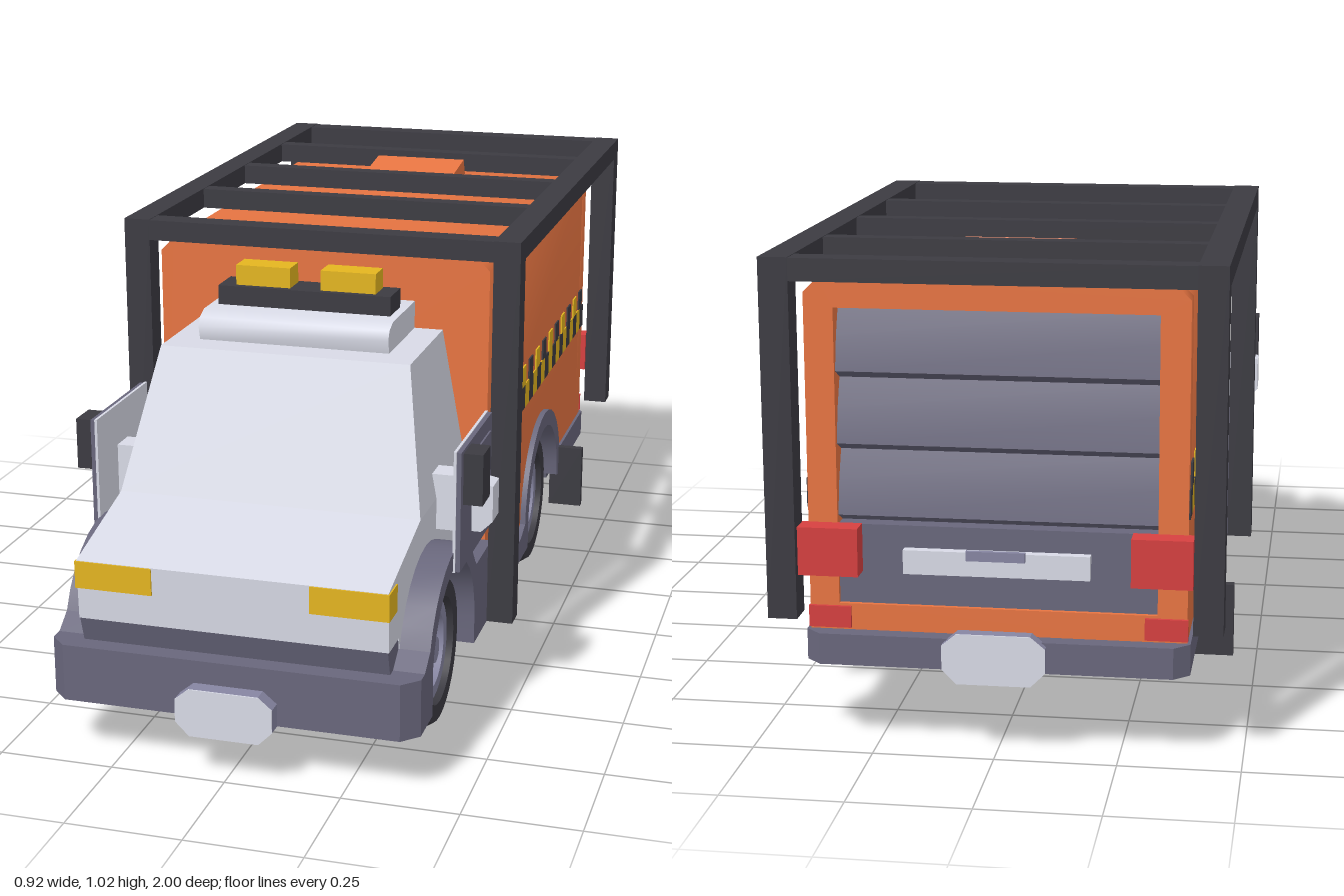
import * as THREE from 'three';
import { toCreasedNormals } from 'three/addons/utils/BufferGeometryUtils.js';

const mat = (name, color) => {
  const m = new THREE.MeshStandardMaterial({ color });
  m.name = name;
  return m;
};

export function createModel() {
  const root = new THREE.Group();
  root.name = 'utilityTruck';
  const orange = mat('orange', 0xe87542), light = mat('lightGrey', 0xd8dae6);
  const slate = mat('slate', 0x69677c), dark = mat('charcoal', 0x3c3b42);
  const yellow = mat('amber', 0xe4b520), red = mat('red', 0xd64040);
  const steel = mat('steel', 0x8786a2), under = mat('underbody', 0x5c5b6c);

  const add = (name, geo, m, parent = root) => {
    const mesh = new THREE.Mesh(geo, m);
    mesh.name = name;
    parent.add(mesh);
    return mesh;
  };
  // box from its limits
  const box = (name, m, x0, x1, y0, y1, z0, z1) => {
    const mesh = add(name, new THREE.BoxGeometry(Math.abs(x1 - x0), y1 - y0, z1 - z0), m);
    mesh.position.set((x0 + x1) / 2, (y0 + y1) / 2, (z0 + z1) / 2);
  };
  const shapeOf = pts => new THREE.Shape(pts.map(p => new THREE.Vector2(...p)));
  const extrude = (shape, depth) =>
    new THREE.ExtrudeGeometry(shape, { depth, bevelEnabled: false, curveSegments: 20 });
  // (z, y) outline extruded across x
  const across = (shape, x0, x1) => extrude(shape, x1 - x0).rotateY(-Math.PI / 2).translate(x1, 0, 0);
  // (x, y) outline extruded along z
  const along = (shape, z0, z1) => extrude(shape, z1 - z0).translate(0, 0, z0);
  // (x, -z) outline extruded upwards
  const upward = (shape, y0, y1) => extrude(shape, y1 - y0).rotateX(-Math.PI / 2).translate(0, y0, 0);
  // points of an arch over a wheel, from low z to high z or back
  const arch = (cz, r, flip = false) => Array.from({ length: 17 }, (_, i) => {
    const a = Math.PI * (flip ? i : 16 - i) / 16;
    return [cz + r * Math.cos(a), 0.19 + r * Math.sin(a)];
  });
  const both = fn => [-1, 1].forEach(fn);
  const frontZ = 0.64, rearZ = -0.36;

  // cargo box
  const boxOutline = bottom => shapeOf([[-0.385, bottom], [0.385, bottom], [0.385, 0.94],
    [0.355, 0.97], [-0.355, 0.97], [-0.385, 0.94]]);
  add('cargoBox', toCreasedNormals(along(boxOutline(0.41), -0.89, 0.28), 0.9), orange);
  const rearFrame = boxOutline(0.24);
  rearFrame.holes.push(new THREE.Path([[-0.325, 0.3], [-0.325, 0.91], [0.325, 0.91], [0.325, 0.3]]
    .map(p => new THREE.Vector2(...p))));
  add('rearFrame', toCreasedNormals(along(rearFrame, -0.945, -0.89), 0.9), orange);
  const sidePanel = shapeOf([[-0.89, 0.24], ...arch(rearZ, 0.21), [-0.13, 0.18],
    [0.28, 0.18], [0.28, 0.41], [-0.89, 0.41]]);
  both(s => add('lowerSidePanel', across(sidePanel, s > 0 ? 0.33 : -0.385, s > 0 ? 0.385 : -0.33), orange));
  box('lowerFrontWall', orange, -0.33, 0.33, 0.18, 0.42, 0.24, 0.28);

  // roller shutter, tailboard and handle
  const slats = [[-0.89, 0.91]];
  for (let i = 0; i < 3; i++) {
    const top = 0.91 - i * 0.148;
    slats.push([-0.9, top], [-0.922, top - 0.06], [-0.936, top - 0.13], [-0.9, top - 0.148]);
  }
  slats.push([-0.89, 0.45]);
  add('rollerShutter', toCreasedNormals(across(shapeOf(slats.reverse()), -0.325, 0.325), 0.6), slate);
  box('tailboard', slate, -0.325, 0.325, 0.3, 0.466, -0.935, -0.89);
  box('tailHandle', light, -0.19, 0.19, 0.37, 0.42, -0.955, -0.935);
  box('tailHandleGrip', steel, -0.06, 0.06, 0.405, 0.425, -0.965, -0.955);

  // roof hatch wedge
  add('roofHatch', across(shapeOf([[-0.64, 0.965], [-0.38, 0.965], [-0.39, 0.975], [-0.62, 1.01]]),
    -0.115, 0.115), orange);

  // outer cage
  both(s => {
    box('frontPost', dark, s * 0.4, s * 0.46, 0.125, 1.017, 0.26, 0.315);
    box('rearPost', dark, s * 0.4, s * 0.46, 0.28, 1.017, -1, -0.94);
    box('topRail', dark, s * 0.4, s * 0.46, 0.97, 1.017, -0.94, 0.26);
  });
  for (const [z0, z1] of [[-1, -0.945], [-0.71, -0.67], [-0.4, -0.36], [-0.09, -0.05], [0.26, 0.315]])
    box('crossBar', dark, -0.4, 0.4, 0.97, 1.016, z0, z1);

  // warning stripe
  both(s => {
    for (let i = 0; i < 24; i++) {
      const z = 0.26 - i * 0.05;
      box('stripeBlock', i % 2 ? dark : yellow, s * 0.38, s * 0.388, 0.5, 0.56, z - 0.05, z);
    }
    for (let i = 0; i < 14; i++) {
      const z = 0.22 - i * 0.0855;
      box('upperStripeBlock', i % 2 ? dark : yellow, s * 0.38, s * 0.389, 0.56, 0.61, z - 0.021, z + 0.021);
    }
  });

  // cab: straight lower body, upper part leaning in above the waist
  add('cabLower', across(shapeOf([[0.28, 0.28], [0.42, 0.28], ...arch(frontZ, 0.21), [0.86, 0.305],
    [0.94, 0.305], [0.945, 0.435], [0.69, 0.5], [0.28, 0.5]]), -0.335, 0.335), light);
  const cab = across(shapeOf([[0.28, 0.5], [0.69, 0.5], [0.57, 0.8], [0.28, 0.8]]), -0.335, 0.335);
  const p = cab.attributes.position;
  for (let i = 0; i < p.count; i++) p.setX(i, p.getX(i) * (1 - 0.55 * (p.getY(i) - 0.5)));
  cab.computeVertexNormals();
  add('cabUpper', cab, light);
  add('roofFairing', toCreasedNormals(across(shapeOf([[0.28, 0.8], [0.5, 0.8], [0.508, 0.83], [0.498, 0.85],
    [0.47, 0.862], [0.28, 0.862]]), -0.215, 0.215), 0.9), light);
  box('lightBar', dark, -0.197, 0.197, 0.86, 0.905, 0.34, 0.425);
  both(s => {
    box('beacon', yellow, s * 0.035, s * 0.16, 0.905, 0.95, 0.35, 0.41);
    box('headlight', yellow, s * 0.17, s * 0.338, 0.375, 0.434, 0.885, 0.948);
  });
  add('noseLower', across(shapeOf([[0.84, 0.24], [0.92, 0.24], [0.94, 0.305], [0.84, 0.305]]), -0.333, 0.333), slate);

  // bumpers with cut corners
  add('frontBumper', upward(shapeOf([[-0.4, -0.83], [-0.4, -0.93], [-0.365, -0.965], [0.365, -0.965],
    [0.4, -0.93], [0.4, -0.83]]), 0.125, 0.25), slate);
  add('rearBumper', upward(shapeOf([[-0.392, 0.58], [0.392, 0.58], [0.392, 0.95],
    [0.36, 0.98], [-0.36, 0.98], [-0.392, 0.95]]), 0.18, 0.245), slate);
  // plates: slate backing with a thin pale face
  const plate = y => shapeOf([[-0.075, y], [0.075, y], [0.105, y + 0.03], [0.105, y + 0.08], [0.075, y + 0.105],
    [-0.075, y + 0.105], [-0.105, y + 0.08], [-0.105, y + 0.03]]);
  add('frontPlateBacking', along(plate(0.095), 0.96, 0.997), steel);
  add('frontPlate', along(plate(0.095), 0.997, 1), light);
  add('rearPlateBacking', along(plate(0.157), -0.997, -0.97), steel);
  add('rearPlate', along(plate(0.157), -1, -0.997), light);

  // fenders, skirts and arches
  const fender = shapeOf([[0.28, 0.125], [0.445, 0.125], ...arch(frontZ, 0.195), [0.835, 0.125],
    [0.9, 0.125], [0.9, 0.25], ...arch(frontZ, 0.235, true).filter(([z, y]) => y > 0.26 && z > 0.44),
    [0.43, 0.31], [0.28, 0.31]]);
  const rearArch = shapeOf([[-0.59, 0.18], ...arch(rearZ, 0.19), [-0.17, 0.125], [0.28, 0.125],
    [0.28, 0.18], [-0.08, 0.18], [-0.13, 0.2], ...arch(rearZ, 0.23, true)]);
  both(s => {
    add('frontFender', toCreasedNormals(across(fender, s > 0 ? 0.32 : -0.4, s > 0 ? 0.4 : -0.32), 0.4), slate);
    add('rearArchAndSkirt',
      toCreasedNormals(across(rearArch, s > 0 ? 0.34 : -0.398, s > 0 ? 0.398 : -0.34), 0.4), slate);
    box('mudFlap', dark, s * 0.375, s * 0.46, 0.1, 0.26, -0.59, -0.57);
  });

  // chassis
  box('chassisCore', under, -0.18, 0.18, 0.127, 0.42, -0.57, 0.84);
  box('chassisMiddle', under, -0.34, 0.34, 0.127, 0.2, -0.16, 0.44);
  box('chassisNose', under, -0.36, 0.36, 0.122, 0.13, 0.83, 0.93);
  box('chassisTail', under, -0.37, 0.37, 0.178, 0.3, -0.89, -0.55);

  // tail lights
  both(s => {
    box('tailLight', red, s * 0.275, s * 0.398, 0.37, 0.47, -0.99, -0.943);
    box('cornerLight', red, s * 0.3, s * 0.387, 0.25, 0.295, -0.952, -0.943);
  });

  // stand-off door panels with mirrors
  both(s => {
    box('doorPanelInner', light, s * 0.398, s * 0.404, 0.378, 0.647, 0.363, 0.662);
    box('doorPanel', slate, s * 0.404, s * 0.414, 0.38, 0.645, 0.365, 0.66);
    box('doorInset', slate, s * 0.414, s * 0.418, 0.45, 0.61, 0.39, 0.54);
    box('doorHandle', dark, s * 0.414, s * 0.422, 0.49, 0.505, 0.41, 0.49);
    box('mirror', dark, s * 0.414, s * 0.456, 0.525, 0.638, 0.57, 0.64);
    box('panelBracket', light, s * 0.32, s * 0.4, 0.43, 0.555, 0.49, 0.55);
    const outer = [[0.41, 0.435], [0.435, 0.435], [0.46, 0.46], [0.46, 0.54], [0.41, 0.55]];
    add('bracketEnd', along(shapeOf(outer.map(([x, y]) => [s * x, y])), 0.495, 0.555), light);
  });

  // wheels
  const v = pts => pts.map(q => new THREE.Vector2(...q));
  const tyre = toCreasedNormals(new THREE.LatheGeometry(v([[0.06, 0], [0.155, 0], [0.187, 0.05],
    [0.187, 0.135], [0.155, 0.185], [0.118, 0.185], [0.11, 0.15]]), 32), 0.4);
  const rim = toCreasedNormals(new THREE.LatheGeometry(v([[0.114, 0.15], [0.11, 0.172], [0.082, 0.172],
    [0.075, 0.15]]), 32), 0.4);
  const disc = (r, y) => new THREE.CylinderGeometry(r, r, y, 24).translate(0, y / 2, 0);
  both(s => [frontZ, rearZ].forEach(z => {
    const wheel = new THREE.Group();
    wheel.name = 'wheel';
    add('tyre', tyre, dark, wheel);
    add('rim', rim, steel, wheel);
    add('wheelDisc', disc(0.1, 0.152), slate, wheel);
    add('hubRing', disc(0.042, 0.165), dark, wheel);
    add('hubCap', disc(0.028, 0.175), steel, wheel);
    wheel.rotation.z = -s * Math.PI / 2;
    wheel.position.set(s * 0.185, 0.187, z);
    root.add(wheel);
  }));
  return root;
}
